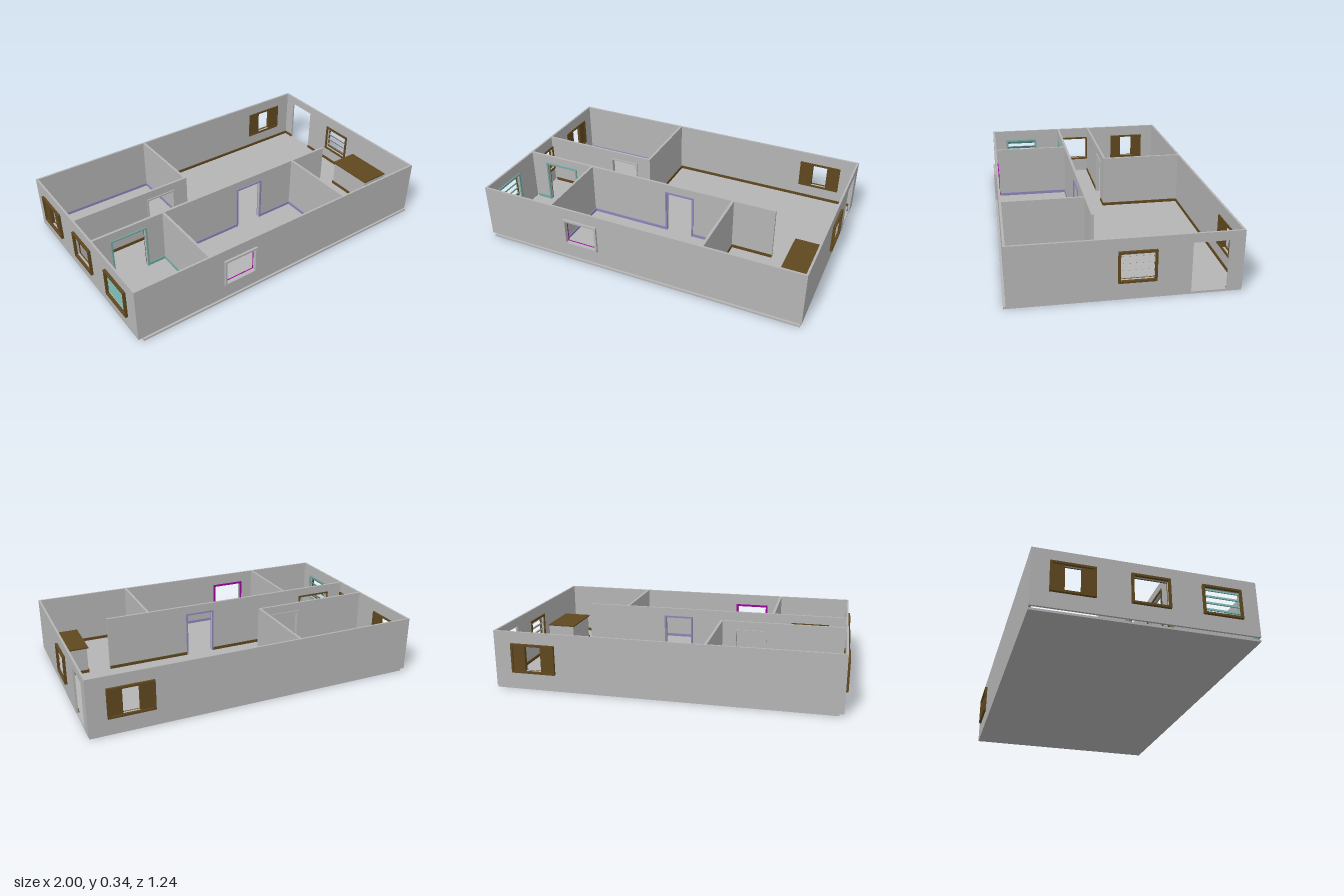
import * as THREE from 'three';

const mat = (name, color) => {
  const m = new THREE.MeshStandardMaterial({ color });
  m.name = name;
  return m;
};

export function createModel() {
  const house = new THREE.Group();
  house.name = 'singleStoreyHouse';
  const grey = mat('wallGrey', 0xb5b5b5);
  const brown = mat('woodBrown', 0x60481f);
  const teal = mat('bathroomTeal', 0x72aaa2);
  const lavender = mat('bedroomLavender', 0x8c86b8);
  const magenta = mat('windowMagenta', 0xa000a0);

  const FLOOR = 0.012, TOP = 0.34, DOOR = 0.29;
  const SILL = 0.1, HEAD = 0.272, BAR = 0.012;

  // Upright slab along x or z, from c0 to c1 across; windows are [u0, u1, y0, y1], doors [u0, u1, head]
  function slab(name, material, axis, [u0, u1], [y0, y1], [c0, c1], windows = [], doors = []) {
    const shape = new THREE.Shape();
    shape.moveTo(u0, y0);
    for (const [a, b, head] of doors) {
      shape.lineTo(a, y0);
      shape.lineTo(a, head);
      shape.lineTo(b, head);
      shape.lineTo(b, y0);
    }
    shape.lineTo(u1, y0);
    shape.lineTo(u1, y1);
    shape.lineTo(u0, y1);
    shape.closePath();
    for (const [a, b, lo, hi] of windows) {
      const hole = new THREE.Path();
      hole.moveTo(a, lo);
      hole.lineTo(a, hi);
      hole.lineTo(b, hi);
      hole.lineTo(b, lo);
      hole.closePath();
      shape.holes.push(hole);
    }
    const geo = new THREE.ExtrudeGeometry(shape, { depth: c1 - c0, bevelEnabled: false });
    if (axis === 'x') geo.translate(0, 0, c0);
    else geo.rotateY(-Math.PI / 2).translate(c1, 0, 0);
    const mesh = new THREE.Mesh(geo, material);
    mesh.name = name;
    house.add(mesh);
  }

  function box(name, material, [x0, x1], [y0, y1], [z0, z1]) {
    const mesh = new THREE.Mesh(new THREE.BoxGeometry(x1 - x0, y1 - y0, z1 - z0), material);
    mesh.position.set((x0 + x1) / 2, (y0 + y1) / 2, (z0 + z1) / 2);
    mesh.name = name;
    house.add(mesh);
  }

  const hole = (a, b) => [a + BAR, b - BAR, SILL + BAR, HEAD - BAR];
  const doorway = (a, b) => [a + 0.01, b - 0.01, DOOR - 0.01];

  // Floor
  box('floorSlab', grey, [-0.96, 0.98], [0, FLOOR], [-0.605, 0.617]);

  // Outer walls
  const full = [FLOOR, TOP];
  slab('frontWall', grey, 'x', [-0.985, 0.985], full, [0.592, 0.604], [hole(-0.445, -0.23)]);
  slab('backWall', grey, 'x', [-0.985, 0.985], full, [-0.605, -0.593], [hole(0.62, 0.88)]);
  slab('leftWall', grey, 'z', [-0.593, 0.592], full, [0.973, 0.985],
    [hole(-0.153, 0.046)], [[-0.525, -0.335, DOOR]]);
  slab('rightWall', grey, 'z', [-0.593, 0.592], full, [-0.985, -0.973],
    [hole(-0.51, -0.275), hole(-0.094, 0.115), hole(0.29, 0.51)]);

  // Inner walls
  slab('backBedroomSideWall', grey, 'z', [-0.593, -0.092], full, [-0.25, -0.235]);
  slab('backBedroomCorridorWall', grey, 'x', [-0.973, -0.25], full, [-0.106, -0.092],
    [], [doorway(-0.515, -0.325)]);
  slab('corridorWall', grey, 'x', [-0.973, 0.67], full, [0.115, 0.13],
    [], [doorway(-0.87, -0.645), doorway(-0.02, 0.165)]);
  slab('bathroomSideWall', grey, 'z', [0.13, 0.592], full, [-0.538, -0.523]);
  slab('kitchenSideWall', grey, 'z', [0.13, 0.592], full, [0.403, 0.418]);

  // Door frames
  function doorFrame(name, material, a, b, across) {
    slab(name, material, 'x', [a, b], [FLOOR, DOOR], across, [], [doorway(a, b)]);
  }
  doorFrame('backBedroomDoorFrame', grey, -0.515, -0.325, [-0.112, -0.086]);
  doorFrame('bathroomDoorFrameInner', teal, -0.87, -0.645, [0.13, 0.137]);
  doorFrame('bathroomDoorFrameOuter', brown, -0.87, -0.645, [0.11, 0.115]);
  doorFrame('frontBedroomDoorFrameInner', lavender, -0.02, 0.165, [0.13, 0.137]);
  doorFrame('frontBedroomDoorFrameOuter', lavender, -0.02, 0.165, [0.11, 0.115]);

  // Window frames
  function windowFrame(name, material, axis, a, b, across) {
    slab(name, material, axis, [a, b], [SILL, HEAD], across, [hole(a, b)]);
  }
  windowFrame('frontWindowFrameOuter', grey, 'x', -0.445, -0.23, [0.604, 0.617]);
  windowFrame('frontWindowFrameInner', magenta, 'x', -0.445, -0.23, [0.585, 0.592]);
  windowFrame('backWindowFrame', brown, 'x', 0.62, 0.88, [-0.62, -0.605]);
  windowFrame('backWindowFrameInner', brown, 'x', 0.62, 0.88, [-0.593, -0.586]);
  windowFrame('leftWindowFrame', brown, 'z', -0.153, 0.046, [0.985, 1]);
  windowFrame('leftWindowFrameInner', brown, 'z', -0.153, 0.046, [0.966, 0.973]);
  for (const [room, a, b, inner] of [['backBedroom', -0.51, -0.275, brown],
    ['corridor', -0.094, 0.115, brown], ['bathroom', 0.29, 0.51, teal]]) {
    windowFrame(room + 'WindowFrame', brown, 'z', a, b, [-1, -0.985]);
    windowFrame(room + 'WindowFrameInner', inner, 'z', a, b, [-0.973, -0.966]);
  }

  // Sliding shutters covering the outer thirds of a window
  function shutters(axis, a, b, across) {
    const w = (b - a) * 0.32;
    for (const [u0, u1] of [[a + BAR, a + w], [b - w, b - BAR]])
      slab('shutter', brown, axis, [u0, u1], [SILL + BAR, HEAD - BAR], across);
  }
  shutters('x', 0.62, 0.88, [-0.612, -0.59]);
  shutters('z', -0.51, -0.275, [-0.99, -0.97]);

  // Tilted louvre slats
  function louvres(material, x, a, b, tilt) {
    for (let i = 0; i < 4; i++) {
      const slat = new THREE.Mesh(new THREE.BoxGeometry(0.004, 0.023, b - a - 2 * BAR), material);
      slat.position.set(x, 0.252 - i * 0.0385, (a + b) / 2);
      slat.rotation.z = tilt;
      slat.name = 'louvreSlat';
      house.add(slat);
    }
  }
  louvres(grey, 0.98, -0.153, 0.046, 0.6);
  louvres(teal, -0.98, 0.29, 0.51, -0.6);

  // Skirting boards: [colour, axis, start, end, wall face, direction into the room]
  const skirting = [
    [brown, 'x', -0.235, 0.973, -0.593, 1],
    [brown, 'z', -0.593, -0.092, -0.235, 1],
    [brown, 'x', -0.96, -0.515, -0.092, 1],
    [brown, 'x', -0.325, -0.235, -0.092, 1],
    [brown, 'x', -0.96, -0.87, 0.115, -1],
    [brown, 'x', -0.645, -0.02, 0.115, -1],
    [brown, 'x', 0.165, 0.67, 0.115, -1],
    [brown, 'x', 0.418, 0.67, 0.13, 1],
    [brown, 'z', 0.13, 0.592, 0.418, 1],
    [brown, 'x', 0.418, 0.973, 0.592, -1],
    [brown, 'z', -0.593, -0.525, 0.973, -1],
    [brown, 'z', -0.335, 0.115, 0.973, -1],
    [brown, 'z', 0.41, 0.592, 0.973, -1],
    [lavender, 'z', -0.593, -0.106, -0.25, -1],
    [lavender, 'x', -0.96, -0.25, -0.593, 1],
    [lavender, 'x', -0.96, -0.515, -0.106, -1],
    [lavender, 'x', -0.325, -0.25, -0.106, -1],
    [lavender, 'x', -0.523, -0.02, 0.13, 1],
    [lavender, 'x', 0.165, 0.403, 0.13, 1],
    [lavender, 'z', 0.13, 0.592, 0.403, -1],
    [lavender, 'z', 0.13, 0.592, -0.523, 1],
    [lavender, 'x', -0.523, 0.403, 0.592, -1],
    [teal, 'x', -0.96, -0.87, 0.13, 1],
    [teal, 'x', -0.645, -0.538, 0.13, 1],
    [teal, 'z', 0.13, 0.592, -0.538, -1],
    [teal, 'x', -0.96, -0.538, 0.592, -1],
  ];
  for (const [material, axis, a, b, face, dir] of skirting)
    slab('skirtingBoard', material, axis, [a, b], [FLOOR, 0.03],
      dir > 0 ? [face, face + 0.005] : [face - 0.005, face]);

  // Kitchen counter
  box('counterBody', grey, [0.803, 0.973], [FLOOR, 0.172], [0.123, 0.402]);
  box('counterTop', brown, [0.795, 0.973], [0.172, 0.18], [0.115, 0.41]);
  box('counterPlinth', brown, [0.798, 0.973], [FLOOR, 0.03], [0.118, 0.407]);

  return house;
}
